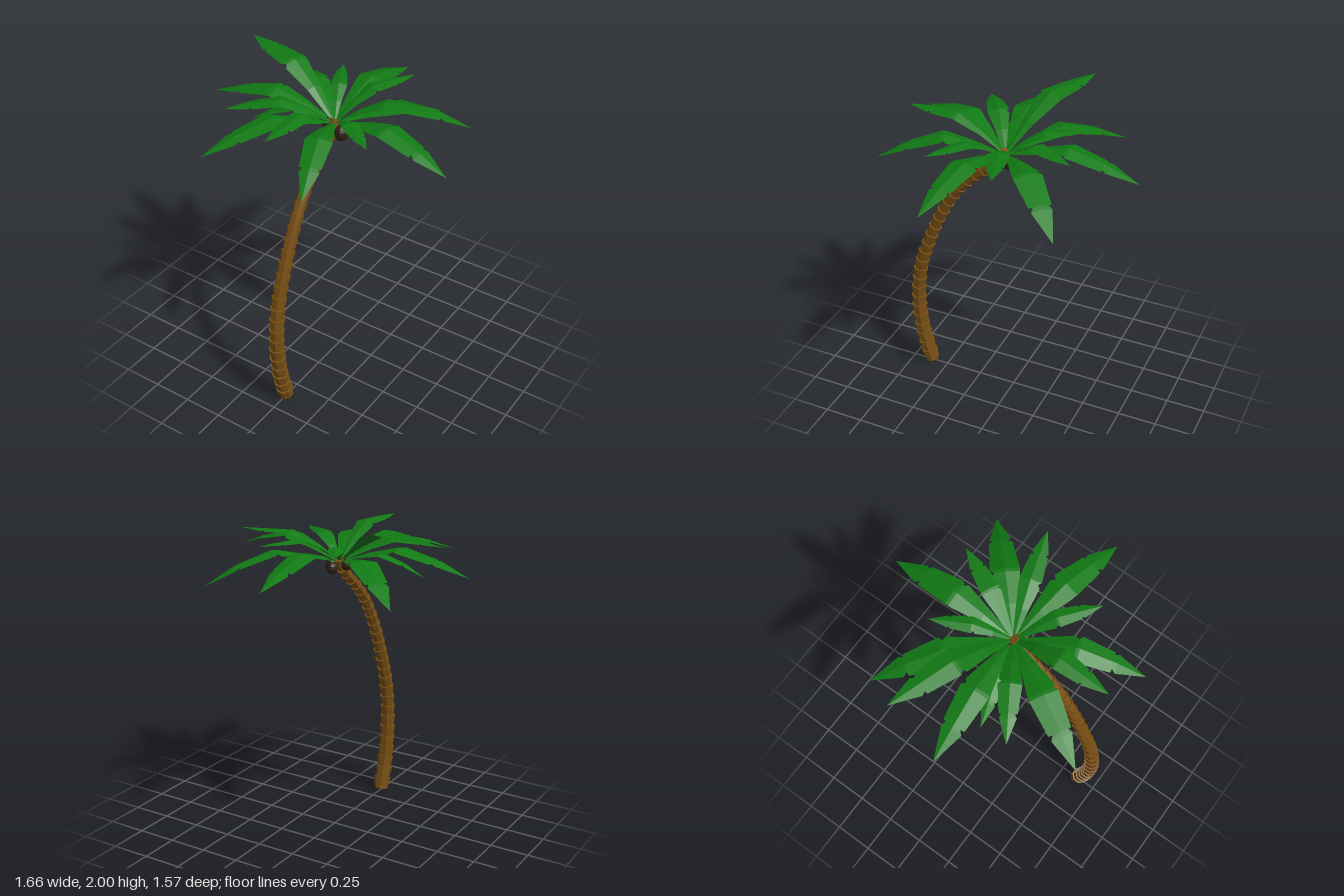
import * as THREE from 'three';

const material = (color, side = THREE.FrontSide) =>
  new THREE.MeshStandardMaterial({ color, side, flatShading: true });

const CROWN = new THREE.Vector3(0, 1.74, 0.055);

// Bent trunk of overlapping flared octagonal rings
function buildTrunk(mat) {
  const trunk = new THREE.Group();
  trunk.name = 'trunk';
  const path = new THREE.CatmullRomCurve3([
    [0.012, 0.615], [0.2, 0.665], [0.4, 0.692], [0.6, 0.69], [0.8, 0.658], [1.0, 0.59],
    [1.2, 0.505], [1.4, 0.39], [1.53, 0.275], [1.62, 0.165], [1.69, 0.085], [1.755, 0.05],
  ].map(([y, z]) => new THREE.Vector3(0, y, z)));
  const count = 26;
  const up = new THREE.Vector3(0, 1, 0);
  for (let i = 0; i < count; i++) {
    const t = i / count;
    const a = path.getPointAt(t), b = path.getPointAt((i + 1) / count);
    const length = a.distanceTo(b) * 1.08;
    const top = THREE.MathUtils.lerp(0.056, 0.034, t);
    const bottom = THREE.MathUtils.lerp(0.045, 0.026, t);
    const geo = new THREE.CylinderGeometry(top, bottom, length, 8);
    geo.rotateY(Math.PI / 8);
    const ring = new THREE.Mesh(geo, mat);
    ring.name = 'trunkRing';
    ring.position.copy(a).add(b).multiplyScalar(0.5);
    ring.quaternion.setFromUnitVectors(up, b.clone().sub(a).normalize());
    trunk.add(ring);
  }
  return trunk;
}

// Frond stations: fraction of length, half widths on both sides (1 = widest)
const STATIONS = [
  [0, 0.1, 0.1], [0.24, 0.55, 0.55], [0.44, 0.95, 0.95], [0.465, 0.97, 0.72], [0.49, 1, 1],
  [0.74, 0.78, 0.78], [0.745, 0.5, 0.56], [0.775, 0.72, 0.72], [1, 0, 0],
];

// Spine height: steep rise, flat middle, drooping tip
function spineHeight(t, peakY, tipY) {
  const keys = [[0, CROWN.y], [0.24, CROWN.y + (peakY - CROWN.y) * 0.58], [0.48, peakY],
    [0.76, peakY + (tipY - peakY) * 0.42], [1, tipY]];
  const k = Math.max(1, keys.findIndex(([u]) => t <= u));
  const [t0, y0] = keys[k - 1], [t1, y1] = keys[k];
  return y0 + (y1 - y0) * (t - t0) / (t1 - t0);
}

// Folded leaf strip with torn notches, from the crown to its tip
function buildFrond(tipX, tipZ, tipY, peakY, flip, mat) {
  const dx = tipX - CROWN.x, dz = tipZ - CROWN.z;
  const length = Math.hypot(dx, dz);
  const sx = -dz / length, sz = dx / length;
  const positions = [], index = [];
  STATIONS.forEach(([t, wa, wb], i) => {
    const y = spineHeight(t, peakY, tipY);
    const x = CROWN.x + dx * t, z = CROWN.z + dz * t;
    const [wl, wr] = flip ? [wb, wa] : [wa, wb];
    for (const w of [-wl, 0, wr]) {
      const h = w * length * 0.105;
      positions.push(x + sx * h, y - Math.abs(h) * 0.22, z + sz * h);
    }
    if (i === 0) return;
    const p = (i - 1) * 3, q = i * 3;
    for (const k of [0, 1]) index.push(p + k, p + k + 1, q + k + 1, p + k, q + k + 1, q + k);
  });
  const indexed = new THREE.BufferGeometry();
  indexed.setAttribute('position', new THREE.Float32BufferAttribute(positions, 3));
  indexed.setIndex(index);
  const geo = indexed.toNonIndexed();
  geo.computeVertexNormals();
  const frond = new THREE.Mesh(geo, mat);
  frond.name = 'frond';
  return frond;
}

export function createModel() {
  const model = new THREE.Group();
  model.name = 'palmTree';
  model.add(buildTrunk(material(0x7a5014)));

  // Fronds: tip x, tip z, tip height, peak height
  const leafMat = material(0x117a14, THREE.DoubleSide);
  const fronds = new THREE.Group();
  fronds.name = 'fronds';
  [
    [0, -0.785, 1.73, 1.87], [0.61, -0.51, 1.62, 1.83], [0.595, -0.135, 1.92, 1.92],
    [0.83, 0.2, 1.73, 1.87], [0.42, 0.37, 1.86, 1.88], [0.27, 0.78, 1.69, 1.86],
    [-0.02, 0.7, 1.93, 1.945], [-0.42, 0.775, 1.73, 1.87], [-0.545, 0.4, 1.82, 1.89],
    [-0.51, 0.2, 1.67, 1.81], [-0.835, 0.12, 1.73, 1.87], [-0.78, -0.21, 1.98, 2.0],
    [-0.65, -0.475, 1.65, 1.84], [-0.22, -0.37, 1.87, 1.88], [0.24, -0.45, 1.9, 1.91],
  ].forEach(([x, z, tip, peak], i) =>
    fronds.add(buildFrond(x, z, tip, peak, i % 2 === 1, leafMat)));
  model.add(fronds);

  // Coconuts hanging under the crown
  const nutMat = material(0x2e2013);
  for (const [x, y, z, r] of [
    [0.068, 1.705, 0.085, 0.044], [-0.048, 1.725, 0.06, 0.033], [0.03, 1.7, 0.02, 0.034],
  ]) {
    const nut = new THREE.Mesh(new THREE.SphereGeometry(r, 10, 8), nutMat);
    nut.name = 'coconut';
    nut.scale.y = 1.15;
    nut.position.set(x, y, z);
    model.add(nut);
  }
  return model;
}
